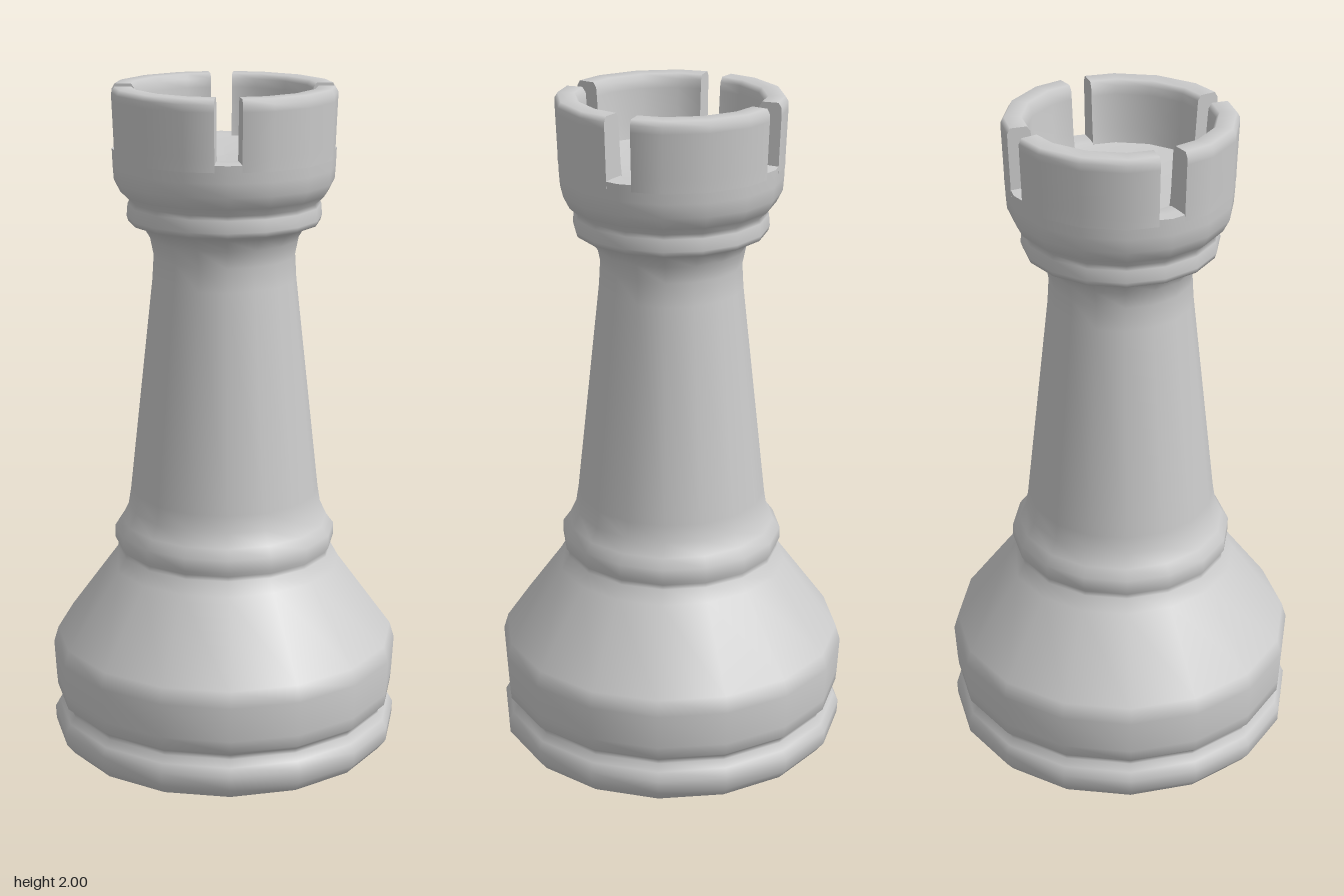
import * as THREE from 'three';

const SIDES = 16;
const STEP = Math.PI * 2 / SIDES;

const material = new THREE.MeshStandardMaterial({ color: 0xcccccc });
const capMaterial = new THREE.MeshStandardMaterial({ color: 0xcccccc, side: THREE.DoubleSide });
const points = list => list.map(([r, y]) => new THREE.Vector2(r, y));

function turned(name, profile) {
  const mesh = new THREE.Mesh(new THREE.LatheGeometry(points(profile), SIDES), material);
  mesh.name = name;
  return mesh;
}

// One wall block of the crown: a partial turning, trimmed along its facets and capped
function createMerlon() {
  const group = new THREE.Group();
  group.name = 'merlon';
  const profile = points([
    [0.323, 1.8], [0.324, 1.84], [0.329, 1.965], [0.329, 1.985], [0.32, 2],
    [0.272, 2], [0.262, 1.985], [0.26, 1.96], [0.253, 1.86], [0.244, 1.8],
  ]);
  const segments = 4;
  const wall = new THREE.LatheGeometry(profile, segments, -2 * STEP, 4 * STEP);

  // Slide the end rings back along the last facet to open the notches
  const trim = 0.69;
  const pos = wall.attributes.position;
  const n = profile.length;
  const a = new THREE.Vector3(), b = new THREE.Vector3();
  for (const [end, next] of [[0, 1], [segments, segments - 1]]) {
    for (let j = 0; j < n; j++) {
      a.fromBufferAttribute(pos, next * n + j);
      b.fromBufferAttribute(pos, end * n + j);
      a.lerp(b, trim);
      pos.setXYZ(end * n + j, a.x, a.y, a.z);
    }
  }
  const wallMesh = new THREE.Mesh(wall, material);
  wallMesh.name = 'merlonWall';
  group.add(wallMesh);

  // Flat end faces
  const offset = Math.atan((2 * trim - 1) * Math.tan(STEP / 2));
  const angle = 1.5 * STEP + offset;
  const shrink = Math.cos(STEP / 2) / Math.cos(offset);
  for (const side of [-1, 1]) {
    const cap = new THREE.ShapeGeometry(new THREE.Shape(profile));
    cap.scale(shrink, 1, 1).rotateY(side * angle - Math.PI / 2);
    const mesh = new THREE.Mesh(cap, capMaterial);
    mesh.name = 'merlonEnd';
    group.add(mesh);
  }
  return group;
}

export function createModel() {
  const model = new THREE.Group();
  model.name = 'rook';

  model.add(turned('underside', [[0, 0], [0.48, 0.012]]));

  // Foot, bell, collar, stem and crown in one smooth turning
  model.add(turned('body', [
    [0.48, 0.012], [0.495, 0.018], [0.52, 0.05], [0.522, 0.09], [0.508, 0.115],
    [0.492, 0.135], [0.495, 0.15], [0.513, 0.165],
    [0.516, 0.2], [0.522, 0.305], [0.508, 0.352],
    [0.345, 0.575], [0.322, 0.615], [0.319, 0.628], [0.329, 0.642],
    [0.329, 0.68], [0.308, 0.708], [0.288, 0.75], [0.28, 0.8],
    [0.21, 1.44], [0.206, 1.51], [0.216, 1.56], [0.238, 1.595],
    [0.278, 1.61], [0.283, 1.625], [0.28, 1.66], [0.274, 1.672],
    [0.3, 1.695], [0.318, 1.73], [0.321, 1.77], [0.323, 1.82],
  ]));

  // Shallow dished floor inside the crown, reaching out through the notches
  model.add(turned('crownFloor', [
    [0.323, 1.82], [0.29, 1.822], [0.255, 1.822], [0.23, 1.81], [0, 1.8],
  ]));

  for (let i = 0; i < 4; i++) {
    const merlon = createMerlon();
    merlon.rotation.y = i * Math.PI / 2;
    model.add(merlon);
  }
  return model;
}
